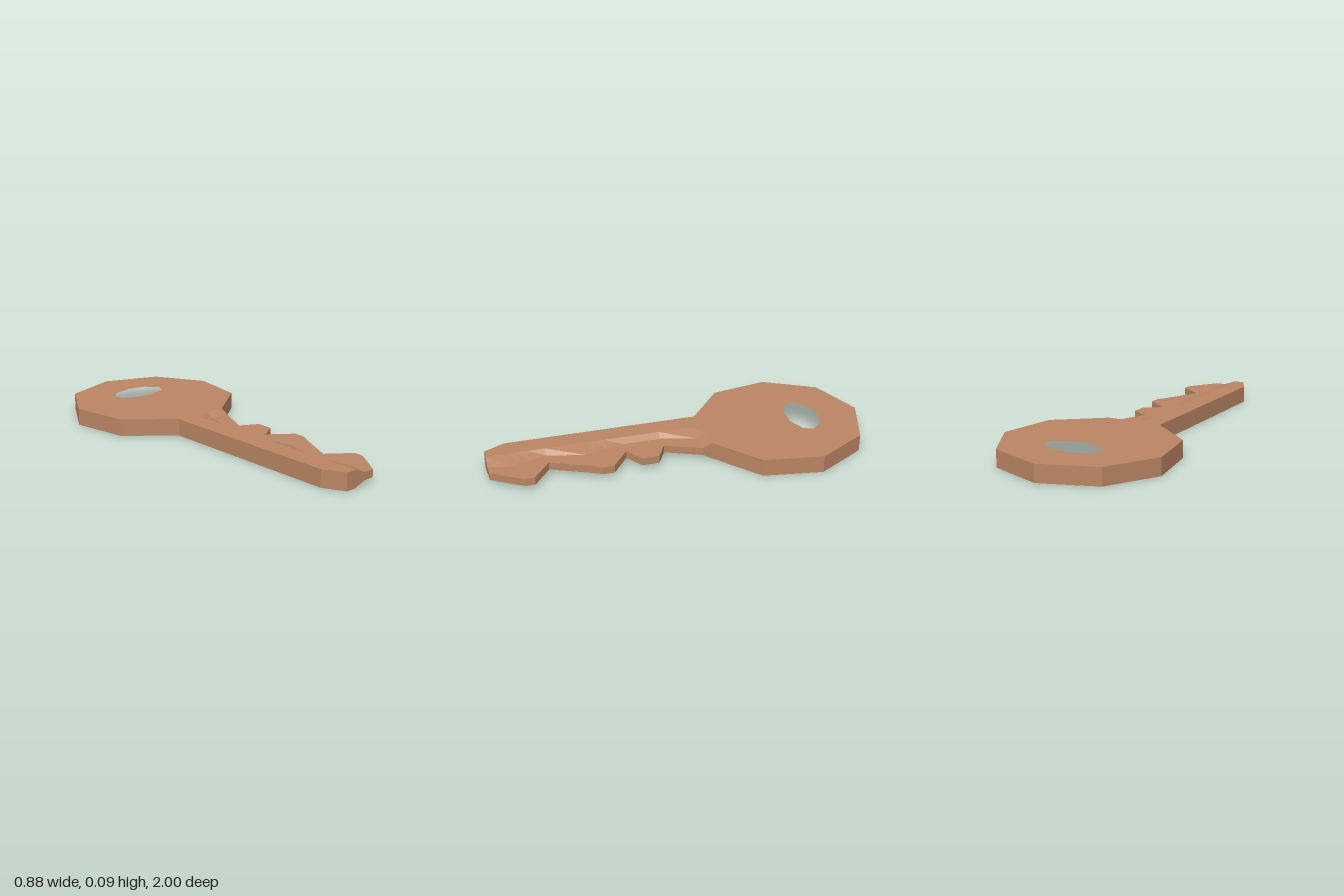
import * as THREE from 'three';

const THICK = 0.09;

// Nine-sided bow (the grip) with an oval hole
function bowGeometry() {
  const toPoints = (list) => list.map(([x, z]) => new THREE.Vector2(x, -z));
  const shape = new THREE.Shape(toPoints([
    [0, -1], [0.29, -0.895], [0.44, -0.63], [0.388, -0.325], [0.145, -0.13],
    [-0.155, -0.13], [-0.39, -0.325], [-0.442, -0.63], [-0.29, -0.895],
  ]));
  shape.holes.push(new THREE.Path(toPoints([
    [0, -0.775], [0.1, -0.755], [0.155, -0.695], [0.135, -0.642], [0.045, -0.605],
    [-0.045, -0.605], [-0.135, -0.642], [-0.155, -0.695], [-0.1, -0.755],
  ])));
  const geometry = new THREE.ExtrudeGeometry(shape, { depth: THICK, bevelEnabled: false });
  return geometry.rotateX(-Math.PI / 2);
}

// Blade: thick spine, sloped groove wall, then a thin toothed web
function bladeGeometry() {
  // z, spine edge x, foot of groove wall x, tooth edge x, web half thickness
  const sections = [
    [-0.13, -0.155, 0.04, 0.145, 0.045],
    [-0.085, -0.155, 0.04, 0.145, 0.02],
    [0.1, -0.155, -0.015, 0.06, 0.02],
    [0.15, -0.155, -0.015, 0.155, 0.02],
    [0.24, -0.155, -0.015, 0.155, 0.02],
    [0.3, -0.155, -0.015, 0.06, 0.02],
    [0.39, -0.155, 0.01, 0.183, 0.02],
    [0.45, -0.155, 0.027, 0.183, 0.02],
    [0.5, -0.155, 0.042, 0.155, 0.02],
    [0.7, -0.155, -0.015, 0.06, 0.02],
    [0.79, -0.155, 0.012, 0.183, 0.02],
    [0.84, -0.155, 0.027, 0.183, 0.02],
    [0.89, -0.155, 0.042, 0.15, 0.02],
    [1, -0.1, 0.02, 0.075, 0.02],
  ];
  const mid = THICK / 2;
  const positions = [];
  const index = [];
  for (const [z, left, foot, right, web] of sections) {
    const half = [[left, mid], [-0.045, mid], [foot, web], [right, web]];
    for (const [x, h] of half) positions.push(x, mid + h, z);
    for (const [x, h] of half.reverse()) positions.push(x, mid - h, z);
  }
  // Skin between neighbouring sections
  for (let i = 0; i < sections.length - 1; i++) {
    for (let j = 0; j < 8; j++) {
      const a = i * 8 + j;
      const b = i * 8 + (j + 1) % 8;
      index.push(a, a + 8, b, b, a + 8, b + 8);
    }
  }
  // Flat tip
  const tip = (sections.length - 1) * 8;
  for (let j = 0; j < 3; j++) {
    const t = tip + j;
    const b = tip + 7 - j;
    index.push(t, b, b - 1, t, b - 1, t + 1);
  }
  const geometry = new THREE.BufferGeometry();
  geometry.setAttribute('position', new THREE.Float32BufferAttribute(positions, 3));
  geometry.setIndex(index);
  const flat = geometry.toNonIndexed();
  flat.computeVertexNormals();
  return flat;
}

export function createModel() {
  const material = new THREE.MeshStandardMaterial({ color: 0xb98563, flatShading: true });
  const key = new THREE.Group();
  key.name = 'key';
  const bow = new THREE.Mesh(bowGeometry(), material);
  bow.name = 'bow';
  const blade = new THREE.Mesh(bladeGeometry(), material);
  blade.name = 'blade';
  key.add(bow, blade);
  return key;
}
